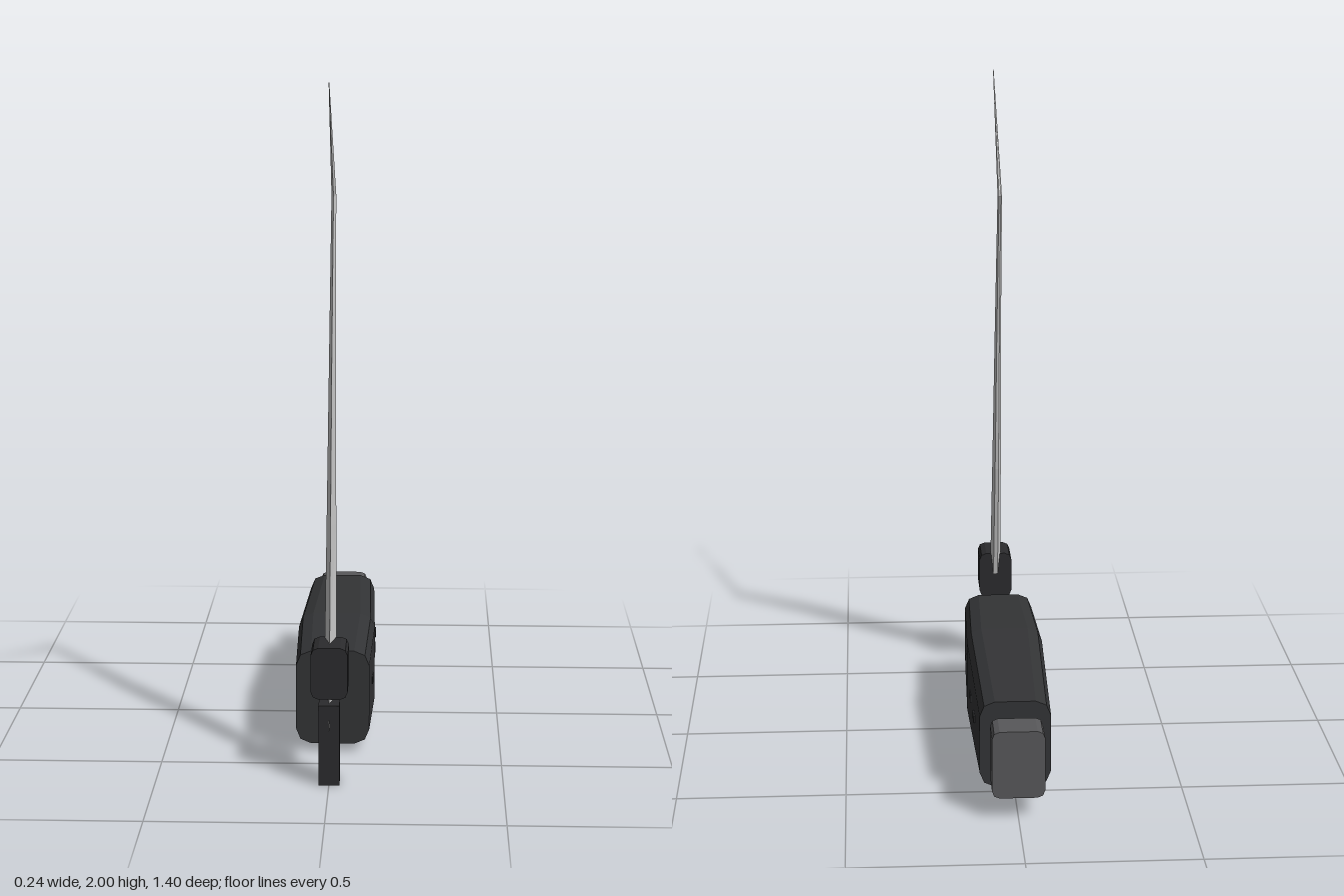
import * as THREE from 'three';

const material = (color) => new THREE.MeshStandardMaterial({ color, flatShading: true });
const black = material(0x2b2b2d);
const charcoal = material(0x333436);
const grey = material(0x58585a);
const steel = material(0xcccccc);

// Skins a row of equal-length rings of [x, y, z] points and closes both ends.
function loft(rings) {
  const n = rings[0].length, index = [];
  for (let r = 0; r < rings.length - 1; r++) {
    for (let i = 0; i < n; i++) {
      const a = r * n + i, b = r * n + (i + 1) % n;
      index.push(a, b, b + n, a, b + n, a + n);
    }
  }
  const last = (rings.length - 1) * n;
  for (let i = 1; i < n - 1; i++) {
    index.push(0, i + 1, i, last, last + i, last + i + 1);
  }
  const g = new THREE.BufferGeometry();
  g.setAttribute('position', new THREE.Float32BufferAttribute(rings.flat(2), 3));
  g.setIndex(index);
  const flat = g.toNonIndexed();
  flat.computeVertexNormals();
  return flat;
}

// Rectangle with rounded corners, facing +z.
function roundedRing(z, halfWidth, y0, y1, radius) {
  const ring = [], cy = (y0 + y1) / 2;
  const dx = halfWidth - radius, dy = (y1 - y0) / 2 - radius;
  [[1, 1], [-1, 1], [-1, -1], [1, -1]].forEach(([sx, sy], corner) => {
    for (let k = 0; k <= 2; k++) {
      const a = (corner + k / 2) * Math.PI / 2;
      ring.push([sx * dx + radius * Math.cos(a), cy + sy * dy + radius * Math.sin(a), z]);
    }
  });
  return ring;
}

export function createModel() {
  const group = new THREE.Group();
  const add = (name, geometry, mat) => {
    const mesh = new THREE.Mesh(geometry, mat);
    mesh.name = name;
    group.add(mesh);
    return mesh;
  };
  const box = (name, [w, h, d], [x, y, z], mat) =>
    add(name, new THREE.BoxGeometry(w, h, d), mat).position.set(x, y, z);

  // Long body, widest just ahead of its middle
  add('body', loft([
    roundedRing(-0.54, 0.105, 0.033, 0.3, 0.045),
    roundedRing(0.02, 0.118, 0.01, 0.325, 0.045),
    roundedRing(0.385, 0.109, 0.024, 0.31, 0.045),
  ]), charcoal);

  // Small studs on both sides of the body
  for (const [z, x] of [[-0.32, 0.11], [-0.15, 0.112], [0.185, 0.112]]) {
    for (const side of [-1, 1]) box('sideStud', [0.01, 0.022, 0.05], [side * x, 0.167, z], black);
  }

  // Rear cap on its short neck
  add('rearCap', loft([
    roundedRing(-0.7, 0.077, 0.065, 0.27, 0.022),
    roundedRing(-0.595, 0.077, 0.065, 0.27, 0.022),
  ]), grey);
  box('rearNeck', [0.05, 0.055, 0.028], [0, 0.168, -0.582], black);

  // Clamp block and the post below it
  add('clampBlock', loft([
    roundedRing(0.545, 0.053, 0.248, 0.4, 0.022),
    roundedRing(0.665, 0.053, 0.248, 0.4, 0.022),
  ]), black);
  box('post', [0.06, 0.237, 0.08], [0, 0.1185, 0.65], black);

  // Blade: [back z, back y, front z, front y, half thickness], from base to tip
  const blade = [
    [0.61, 0.2, 0.705, 0.165, 0.006],
    [0.575, 0.26, 0.643, 0.29, 0.016],
    [0.545, 0.33, 0.62, 0.4, 0.017],
    [0.455, 0.72, 0.55, 0.73, 0.014],
    [0.375, 1.19, 0.45, 1.18, 0.01],
    [0.265, 1.655, 0.305, 1.65, 0.007],
    [0.645, 2, 0.646, 1.999, 0.001],
  ];
  add('blade', loft(blade.map(([bz, by, fz, fy, w]) => {
    const ry = by + (fy - by) * 0.22, rz = bz + (fz - bz) * 0.22;
    return [[0, fy, fz], [w, ry, rz], [w * 0.4, by, bz], [-w * 0.4, by, bz], [-w, ry, rz]];
  })), steel);

  return group;
}
